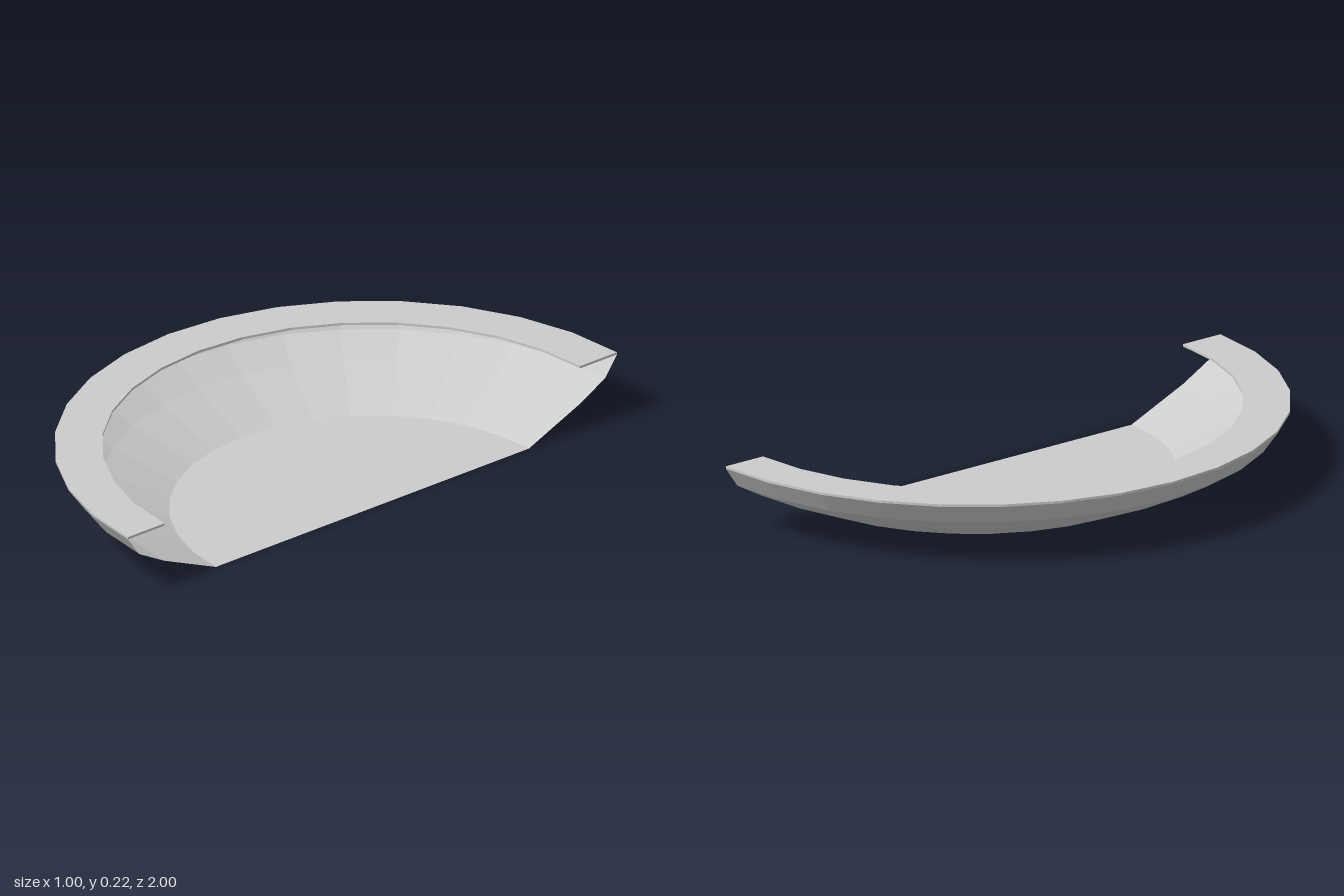
import * as THREE from 'three';

const SEGMENTS = 16;
const RIM_BOTTOM = 0.214;
const RIM_TOP = 0.222;

export function createModel() {
  const model = new THREE.Group();
  model.name = 'halfBowl';
  const material = new THREE.MeshStandardMaterial({
    color: 0xcccccc, flatShading: true, side: THREE.DoubleSide,
  });

  // Thin half shell: flat floor and a faceted flaring wall, open at the cut
  const profile = [[0, 0], [0.64, 0], [0.85, 0.09], [0.953, 0.147], [1, RIM_BOTTOM]]
    .map(([r, y]) => new THREE.Vector2(r, y));
  const shell = new THREE.Mesh(
    new THREE.LatheGeometry(profile, SEGMENTS, Math.PI, Math.PI), material);
  shell.name = 'bowlShell';
  model.add(shell);

  // Flat half-ring rim overhanging the inside of the wall
  const ring = new THREE.Shape();
  ring.absarc(0, 0, 1, Math.PI / 2, Math.PI * 1.5, false);
  ring.absarc(0, 0, 0.85, Math.PI * 1.5, Math.PI / 2, true);
  const rimGeometry = new THREE.ExtrudeGeometry(ring, {
    depth: RIM_TOP - RIM_BOTTOM, bevelEnabled: false, curveSegments: SEGMENTS / 2,
  });
  rimGeometry.rotateX(-Math.PI / 2);
  const rim = new THREE.Mesh(rimGeometry, material);
  rim.name = 'rim';
  rim.position.y = RIM_BOTTOM;
  model.add(rim);

  // Centre the half disc on x
  for (const part of model.children) part.position.x = 0.5;
  return model;
}
